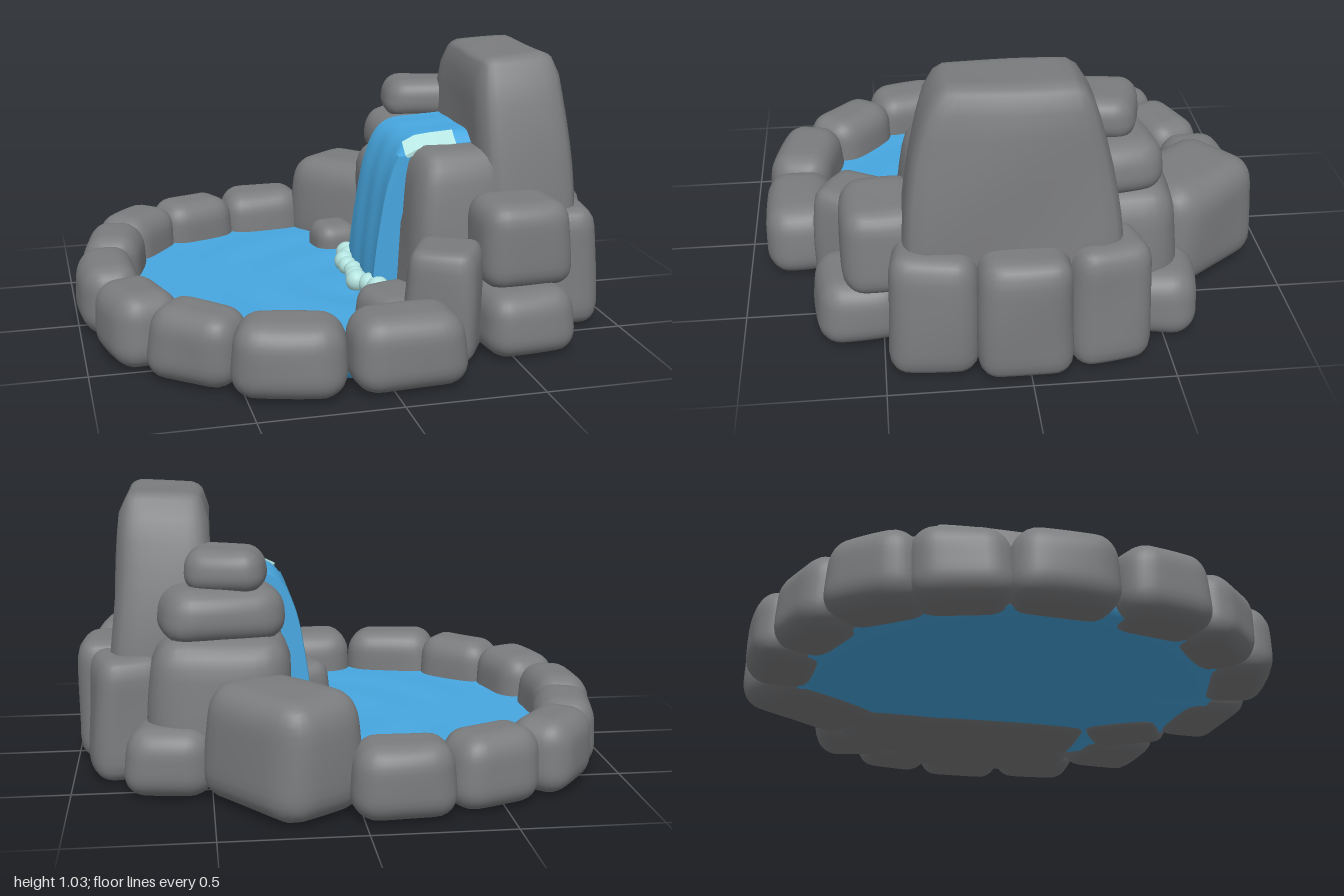
import * as THREE from 'three';
import { mergeVertices, toCreasedNormals } from 'three/addons/utils/BufferGeometryUtils.js';

const mat = (name, color) => Object.assign(new THREE.MeshStandardMaterial({ color }), { name });

export function createModel() {
  const group = new THREE.Group();
  const stone = mat('stone grey', 0x7b7c7e);
  const water = mat('water blue', 0x47a7e0);
  const foam = mat('foam aqua', 0xb2e2de);

  const add = (name, geometry, material) => {
    const mesh = new THREE.Mesh(geometry, material);
    mesh.name = name;
    group.add(mesh);
    return mesh;
  };

  // Rounded, slightly lumpy boulder standing on y0; the top narrows by taper, the sides bulge
  let seed = 0;
  function rock(name, [x, y0, z], [w, h, d], turn = 0, { r = 0.06, tx = 0.1, tz = 0.1, pow = 2, lump = 0.006, bulge = 0.07 } = {}) {
    seed += 1.7;
    let geo = new THREE.BoxGeometry(w, h, d, 12, 12, 12);
    geo.deleteAttribute('uv');
    geo.deleteAttribute('normal');
    geo = mergeVertices(geo);
    const pos = geo.attributes.position;
    const half = new THREE.Vector3(w / 2 - r, h / 2 - r, d / 2 - r);
    const p = new THREE.Vector3(), core = new THREE.Vector3();
    for (let i = 0; i < pos.count; i++) {
      p.fromBufferAttribute(pos, i);
      core.copy(p).clamp(half.clone().negate(), half);
      p.sub(core).normalize().multiplyScalar(r).add(core);
      const v = Math.pow(p.y / h + 0.5, pow);
      const bx = 1 - bulge * (2 * p.z / d) ** 2;
      const bz = 1 - bulge * (2 * p.x / w) ** 2;
      p.x *= (1 - tx * v) * bx;
      p.z *= (1 - tz * v) * bz;
      p.x += lump * Math.sin(p.y * 9 + p.z * 8 + seed);
      p.z += lump * Math.sin(p.x * 9 + p.y * 7 + seed * 2);
      p.y += lump * 0.5 * Math.sin(p.x * 10 + p.z * 11 + seed * 3) * v;
      pos.setXYZ(i, p.x, p.y, p.z);
    }
    geo.computeVertexNormals();
    const mesh = add(name, geo, stone);
    mesh.position.set(x, y0 + h / 2, z);
    mesh.rotation.y = turn;
    return mesh;
  }

  // Low ring of stones: x, z, length, width, turn
  [
    [-0.14, -0.815, 0.37, 0.27, 0.03],
    [-0.455, -0.73, 0.35, 0.25, 0.42],
    [-0.71, -0.57, 0.35, 0.25, 0.88],
    [-0.835, -0.32, 0.35, 0.24, 1.36],
    [-0.88, 0.005, 0.38, 0.235, 1.6],
    [-0.805, 0.35, 0.35, 0.26, -1.3],
    [-0.625, 0.605, 0.36, 0.25, -0.72],
    [-0.35, 0.785, 0.4, 0.265, -0.25],
    [0.055, 0.805, 0.42, 0.28, 0.06],
  ].forEach(([x, z, len, wid, turn], i) => rock('rimStone' + (i + 1), [x, 0.01, z], [len, 0.267, wid], turn, { r: 0.085 }));

  // Larger rocks closing the ring
  rock('backCornerRock', [0.26, 0.01, -0.67], [0.54, 0.42, 0.4], -0.92, { r: 0.1 });
  rock('frontCornerRock', [0.27, 0.01, 0.57], [0.28, 0.405, 0.31], -0.5, { r: 0.05, tx: 0.14, tz: 0.14 });
  rock('frontLowStone', [0.56, 0.01, 0.58], [0.36, 0.24, 0.33], 0.05, { r: 0.08 });
  rock('frontUpperStone', [0.58, 0.23, 0.49], [0.36, 0.32, 0.31], 0.08, { r: 0.075 });
  rock('backLowStone', [0.64, 0.01, -0.47], [0.33, 0.245, 0.33], -0.2, { r: 0.085 });

  // Three upright stones behind the peak
  rock('rearStoneMiddle', [0.855, 0.01, 0.015], [0.29, 0.455, 0.34], 0, { r: 0.07, tx: 0.12, tz: 0.06 });
  rock('rearStoneFront', [0.805, 0.01, 0.325], [0.28, 0.455, 0.32], -0.12, { r: 0.07, tx: 0.12, tz: 0.06 });
  rock('rearStoneBack', [0.8, 0.01, -0.275], [0.28, 0.455, 0.3], 0.2, { r: 0.07, tx: 0.12, tz: 0.06 });

  // Peak and the cliff under the waterfall
  rock('peakRock', [0.665, 0.01, 0.05], [0.39, 1.02, 0.79], 0, { r: 0.075, tx: 0.19, tz: 0.36, pow: 3, lump: 0.005, bulge: 0.04 }).rotation.z = 0.04;
  rock('cliffRock', [0.41, 0.01, 0.075], [0.43, 0.685, 0.75], 0, { r: 0.09, tx: 0.22, tz: 0.16, lump: 0.004, bulge: 0.04 });

  // Stepped stones beside the waterfall
  rock('stepStoneLower', [0.46, 0.01, -0.31], [0.54, 0.54, 0.53], 0, { r: 0.1 });
  rock('stepStoneMiddle', [0.46, 0.53, -0.29], [0.47, 0.19, 0.42], 0.15, { r: 0.08, bulge: 0.12 });
  rock('stepStoneTop', [0.435, 0.7, -0.295], [0.3, 0.155, 0.27], -0.2, { r: 0.065 });

  // Small stones in the pool
  rock('poolStoneFront', [0.11, 0.03, 0.48], [0.25, 0.2, 0.28], 0.3, { r: 0.06 });
  rock('poolStoneBack', [0.115, 0.03, -0.445], [0.2, 0.18, 0.2], 0.2, { r: 0.06 });

  // Pool: a shallow disc with ripples spreading from the waterfall
  const level = 0.115;
  const profile = [new THREE.Vector2(0, 0.025), new THREE.Vector2(0.77, 0.025)];
  for (let i = 0; i <= 36; i++) profile.push(new THREE.Vector2(0.77 * (1 - i / 36), level));
  const pool = new THREE.LatheGeometry(profile, 64);
  const pp = pool.attributes.position;
  for (let i = 0; i < pp.count; i++) {
    if (pp.getY(i) < 0.05) continue;
    const d = Math.hypot(pp.getX(i) - 0.22, pp.getZ(i) - 0.03);
    pp.setY(i, level + 0.005 * Math.sin(d * 22) * Math.exp(-d * 1.5));
  }
  pool.computeVertexNormals();
  add('poolWater', pool, water).position.x = -0.1;

  // Extrudes an x-y outline between two z values; the lip dips toward its front edge
  function sheet(points, z0, z1, wave) {
    const shape = new THREE.Shape(points.map(([x, y]) => new THREE.Vector2(x, y)));
    const geo = new THREE.ExtrudeGeometry(shape, { depth: z1 - z0, steps: 20, bevelEnabled: false });
    geo.translate(0, 0, z0);
    const pos = geo.attributes.position;
    for (let i = 0; i < pos.count; i++) {
      const s = wave * Math.sin(pos.getZ(i) * 38 + pos.getY(i) * 4);
      const dip = pos.getY(i) > 0.66 ? 0.8 * Math.max(0, pos.getZ(i) - 0.185) : 0;
      pos.setXY(i, pos.getX(i) + s, pos.getY(i) + s * 0.5 - dip);
    }
    return toCreasedNormals(geo, 0.9);
  }

  // Waterfall: pours over the lip and down to the pool
  const lip = new THREE.CatmullRomCurve3([
    [0.5, 0.735], [0.38, 0.728], [0.27, 0.718], [0.215, 0.68], [0.165, 0.57], [0.13, 0.4], [0.105, 0.22], [0.095, 0.08],
  ].map(([x, y]) => new THREE.Vector3(x, y, 0))).getPoints(28).map((p) => [p.x, p.y]);
  const inner = [[0.19, 0.08], [0.21, 0.4], [0.25, 0.58], [0.32, 0.64], [0.5, 0.64]];
  add('waterfall', sheet([...lip, ...inner], -0.15, 0.23, 0.003), water);

  // Foam edge on the lip
  const band = [[0.42, 0.738], [0.33, 0.732], [0.27, 0.725], [0.222, 0.702], [0.23, 0.692], [0.27, 0.705], [0.42, 0.718]];
  add('lipFoam', sheet(band, 0.185, 0.237, 0.001), foam);

  // Foam bubbles where the fall meets the pool
  [
    [0.11, -0.21, 0.044], [0.11, -0.16, 0.044], [0.075, -0.105, 0.042], [0.072, -0.045, 0.038],
    [0.08, 0.015, 0.038], [0.07, 0.075, 0.038], [0.062, 0.135, 0.044], [0.1, 0.18, 0.042], [0.12, 0.23, 0.044],
  ].forEach(([x, z, r], i) => {
    add('foamBubble' + (i + 1), new THREE.SphereGeometry(r, 16, 12), foam).position.set(x, 0.145, z);
  });

  return group;
}
